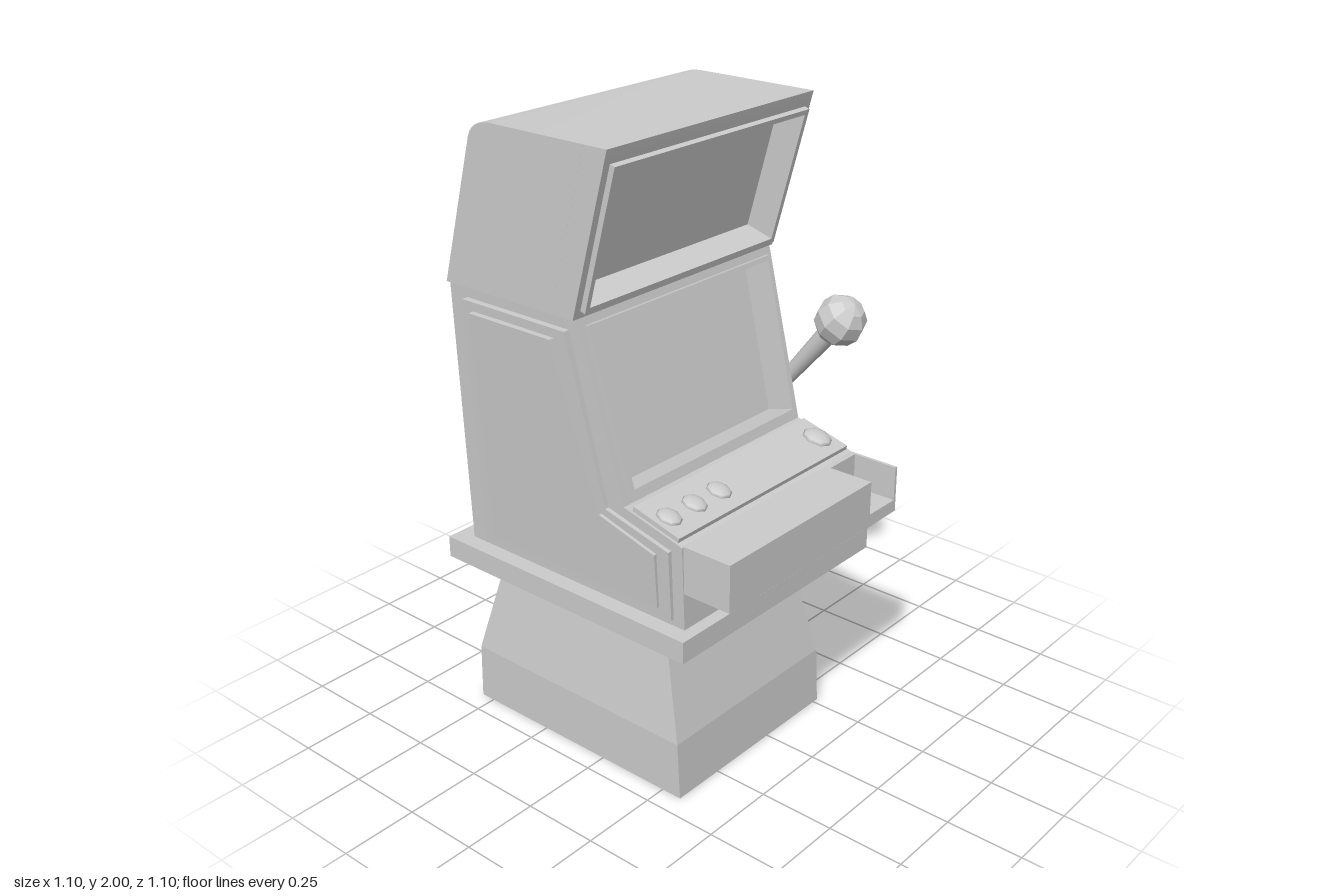
import * as THREE from 'three';
import { toCreasedNormals } from 'three/addons/utils/BufferGeometryUtils.js';

const ZC = 0.08; // middle of the cabinet; the lever sits outside on -z
const grey = new THREE.MeshStandardMaterial({ color: 0xcccccc });
const facet = new THREE.MeshStandardMaterial({ color: 0xcccccc, flatShading: true });
const V = (x, y, z) => new THREE.Vector3(x, y, z);

// straight ramp between (y0, a) and (y1, b)
const ramp = (y0, a, y1, b) => (y) => a + ((b - a) * (y - y0)) / (y1 - y0);

function add(parent, name, geometry, x = 0, y = 0, z = 0, material = grey) {
  const mesh = new THREE.Mesh(geometry, material);
  mesh.name = name;
  mesh.position.set(x, y, z);
  parent.add(mesh);
  return mesh;
}

function box(parent, name, x0, x1, y0, y1, z0, z1) {
  return add(parent, name, new THREE.BoxGeometry(x1 - x0, y1 - y0, z1 - z0),
    (x0 + x1) / 2, (y0 + y1) / 2, (z0 + z1) / 2);
}

// side profile in x,y spanning two z limits that may vary with height
function prism(profile, zBack, zFront) {
  const shape = Array.isArray(profile)
    ? new THREE.Shape(profile.map(([x, y]) => new THREE.Vector2(x, y))) : profile;
  const geo = new THREE.ExtrudeGeometry(shape, { depth: 1, bevelEnabled: false, curveSegments: 6 });
  const p = geo.attributes.position;
  for (let i = 0; i < p.count; i++) {
    const y = p.getY(i);
    p.setZ(i, THREE.MathUtils.lerp(zBack(y), zFront(y), p.getZ(i)));
  }
  return toCreasedNormals(geo, 0.6);
}

// trapezoid ring lying in local x,y
function ring(h, w0, w1, outer, inner, depth) {
  const trap = (m) => [[-w0 + m, m], [w0 - m, m], [w1 - m, h - m], [-w1 + m, h - m]]
    .map(([x, y]) => new THREE.Vector2(x, y));
  const shape = new THREE.Shape(trap(outer));
  shape.holes.push(new THREE.Path(trap(inner).reverse()));
  return new THREE.ExtrudeGeometry(shape, { depth, bevelEnabled: false });
}

// deep window surround with a raised lip, tilted along a line on the front
function windowFrame(parent, name, a, b, w0, w1, recess) {
  const up = V(b[0] - a[0], b[1] - a[1], 0);
  const h = up.length();
  up.normalize();
  const across = V(0, 0, -1);
  const out = new THREE.Vector3().crossVectors(across, up);
  const group = new THREE.Group();
  group.name = name;
  group.quaternion.setFromRotationMatrix(new THREE.Matrix4().makeBasis(across, up, out));
  group.position.set(a[0], a[1], ZC);
  parent.add(group);
  add(group, name + 'Surround', ring(h, w0, w1, 0, 0.04, recess), 0, 0, -recess);
  add(group, name + 'Lip', ring(h, w0, w1, 0.024, 0.04, 0.018));
}

export function createModel() {
  const model = new THREE.Group();
  model.name = 'slotMachine';

  // pedestal: rectangular sections [y, xMin, xMax, half depth]
  const levels = [[0, -0.55, 0.32, 0.35], [0.19, -0.545, 0.31, 0.35],
    [0.47, -0.47, 0.24, 0.31], [0.57, -0.49, 0.39, 0.41]];
  const pedestal = new THREE.BoxGeometry(1, 3, 1, 1, 3, 1);
  const p = pedestal.attributes.position;
  for (let i = 0; i < p.count; i++) {
    const [y, x0, x1, hz] = levels[Math.round(p.getY(i) + 1.5)];
    p.setXYZ(i, p.getX(i) < 0 ? x0 : x1, y, ZC + (p.getZ(i) < 0 ? -hz : hz));
  }
  add(model, 'pedestal', pedestal, 0, 0, 0, facet);
  box(model, 'baseSlab', -0.55, 0.42, 0.57, 0.64, ZC - 0.45, ZC + 0.45);

  // cabinet, slightly wider towards the top, cut back behind the window
  const bodyHalf = ramp(0.64, 0.397, 1.5, 0.43);
  add(model, 'cabinet', prism(
    [[-0.49, 0.64], [0.38, 0.64], [0.38, 0.908], [0.36, 0.915], [0.165, 0.965],
      [0.088, 0.944], [-0.057, 1.479], [0.02, 1.5], [-0.49, 1.5]],
    (y) => ZC - bodyHalf(y), (y) => ZC + bodyHalf(y)));
  windowFrame(model, 'reelWindow', [0.165, 0.965], [0.02, 1.5],
    bodyHalf(0.965), bodyHalf(1.5), 0.08);

  // header with rounded top rear edge, leaning forward
  const header = new THREE.Shape();
  header.moveTo(-0.49, 1.5);
  header.lineTo(0.02, 1.5);
  header.lineTo(-0.057, 1.522);
  header.lineTo(0.078, 2);
  header.lineTo(0.155, 1.978);
  header.lineTo(0.161, 2);
  header.lineTo(-0.27, 2);
  header.quadraticCurveTo(-0.345, 2, -0.362, 1.95);
  header.closePath();
  add(model, 'header', prism(header, () => ZC - 0.443, () => ZC + 0.443));
  windowFrame(model, 'headerDisplay', [0.02, 1.5], [0.155, 1.978], 0.443, 0.443, 0.08);

  // two stepped panels on each side
  const panels = [
    ['sidePanelOuter', [[-0.42, 0.66], [0.34, 0.66], [0.34, 0.885], [0.105, 0.945],
      [-0.01, 1.463], [-0.42, 1.463]], ramp(0.66, 0.408, 1.463, 0.45)],
    ['sidePanelInner', [[-0.375, 0.69], [0.295, 0.69], [0.295, 0.865], [0.09, 0.925],
      [-0.05, 1.435], [-0.375, 1.435]], ramp(0.69, 0.417, 1.435, 0.468)],
  ];
  for (const [name, profile, half] of panels) {
    const inner = (y) => bodyHalf(y) - 0.01;
    add(model, name + 'Left', prism(profile, (y) => ZC + inner(y), (y) => ZC + half(y)));
    add(model, name + 'Right', prism(profile, (y) => ZC - half(y), (y) => ZC - inner(y)));
  }

  // sloping button deck
  const deck = new THREE.Group();
  deck.name = 'buttonDeck';
  deck.position.set(0.275, 0.937, 0);
  deck.rotation.z = -0.257;
  model.add(deck);
  add(deck, 'deckPlate', new THREE.BoxGeometry(0.175, 0.03, 0.8), 0, 0, ZC);
  for (const [z, r] of [[0.21, 0.04], [0.32, 0.04], [0.43, 0.04], [-0.27, 0.048]]) {
    const button = add(deck, 'button', new THREE.SphereGeometry(r, 8, 6), 0.005, 0.015, z);
    button.scale.set(1.05, 0.4, 0.9);
  }

  // coin tray with an open cup at one end
  box(model, 'coinTray', 0.36, 0.545, 0.76, 0.91, -0.19, 0.48);
  box(model, 'coinCupFloor', 0.36, 0.545, 0.76, 0.8, -0.325, -0.19);
  box(model, 'coinCupEnd', 0.36, 0.545, 0.76, 0.91, -0.328, -0.318);
  box(model, 'coinCupBack', 0.36, 0.395, 0.76, 0.91, -0.325, -0.19);

  // pull lever: stacked hub discs, flaring rod and ball
  const lever = new THREE.Group();
  lever.name = 'pullLever';
  model.add(lever);
  for (const [name, r, z0, z1] of [['hubPlate', 0.125, -0.32, -0.405],
    ['hubRing', 0.1, -0.4, -0.42], ['hub', 0.065, -0.42, -0.52]]) {
    add(lever, name, toCreasedNormals(new THREE.CylinderGeometry(r, r, z0 - z1, 16), 0.6),
      -0.135, 0.865, (z0 + z1) / 2).rotation.x = Math.PI / 2;
  }
  const from = V(-0.1, 0.88, -0.47), to = V(0.215, 1.265, -0.47);
  const dir = to.clone().sub(from);
  const rod = add(lever, 'leverRod', new THREE.CylinderGeometry(0.036, 0.02, dir.length(), 10));
  rod.position.copy(from).addScaledVector(dir, 0.5);
  rod.quaternion.setFromUnitVectors(V(0, 1, 0), dir.normalize());
  const ball = add(lever, 'leverBall', new THREE.SphereGeometry(0.084, 8, 6), to.x, to.y, to.z, facet);
  ball.quaternion.copy(rod.quaternion);

  return model;
}
